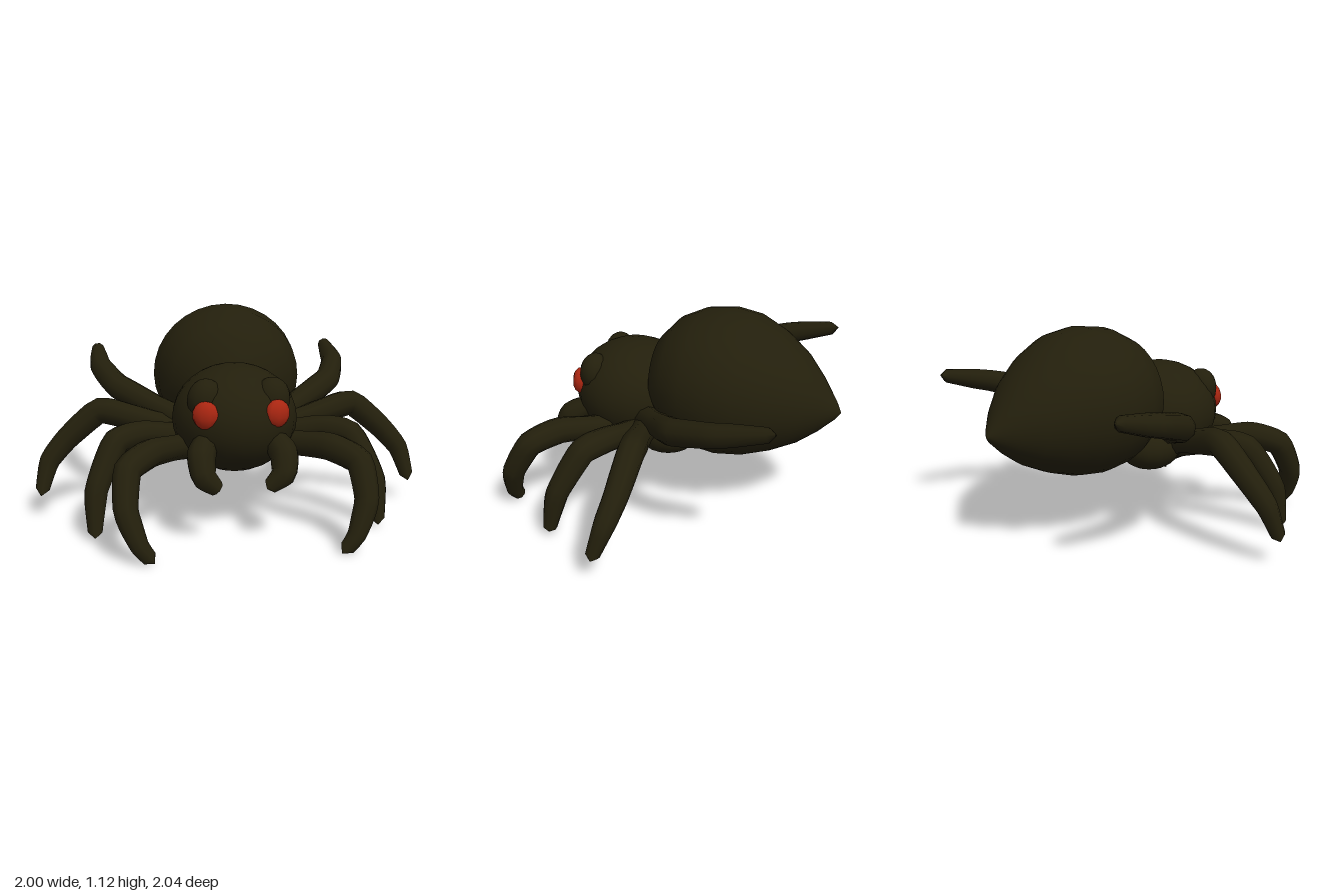
import * as THREE from 'three';

const shell = new THREE.MeshStandardMaterial({ color: 0x231f0c });
shell.name = 'dark olive';
const red = new THREE.MeshStandardMaterial({ color: 0xaa2611 });
red.name = 'eye red';

function add(parent, name, geometry, material = shell) {
  const mesh = new THREE.Mesh(geometry, material);
  mesh.name = name;
  parent.add(mesh);
  return mesh;
}

function ellipsoid(parent, name, pos, radii, material = shell, w = 24, h = 16) {
  const mesh = add(parent, name, new THREE.SphereGeometry(1, w, h), material);
  mesh.position.set(...pos);
  mesh.scale.set(...radii);
  return mesh;
}

// Jointed tube whose radius follows evenly spaced values; both ends are closed
function limb(points, radii, side, segments = 28, sides = 9) {
  const curve = new THREE.CatmullRomCurve3(
    points.map(([x, y, z]) => new THREE.Vector3(x * side, y, z)), false, 'catmullrom', 0.25);
  const g = new THREE.TubeGeometry(curve, segments, 1, sides, false);
  const p = g.attributes.position;
  const v = new THREE.Vector3();
  for (let i = 0; i <= segments; i++) {
    const t = i / segments;
    const f = t * (radii.length - 1);
    const k = Math.min(Math.floor(f), radii.length - 2);
    const end = i === 0 || i === segments;
    const r = end ? 0.002 : THREE.MathUtils.lerp(radii[k], radii[k + 1], f - k);
    const c = curve.getPointAt(t);
    for (let j = 0; j <= sides; j++) {
      const n = i * (sides + 1) + j;
      v.fromBufferAttribute(p, n).sub(c).multiplyScalar(r).add(c);
      p.setXYZ(n, v.x, v.y, v.z);
    }
  }
  return g;
}

// Left legs from hip to foot, front pair first
const legs = [
  ['FrontLeg', [[0.2, 0.44, 0.26], [0.45, 0.48, 0.54], [0.575, 0.43, 0.67],
    [0.59, 0.26, 0.77], [0.53, 0.1, 0.82], [0.46, 0.01, 0.825]]],
  ['SecondLeg', [[0.22, 0.45, 0.14], [0.477, 0.5, 0.236], [0.625, 0.48, 0.325],
    [0.73, 0.26, 0.434], [0.745, 0.02, 0.49]]],
  ['ThirdLeg', [[0.22, 0.47, 0.13], [0.54, 0.55, 0.055], [0.71, 0.58, 0.015],
    [0.89, 0.43, 0.02], [0.99, 0.31, 0.045], [1.04, 0.13, 0.1]]],
  ['RearLeg', [[0.22, 0.52, 0.14], [0.43, 0.6, -0.03], [0.61, 0.68, -0.17],
    [0.7, 0.75, -0.41], [0.72, 0.82, -0.72]]],
];

export function createModel() {
  const model = new THREE.Group();
  model.name = 'spider';
  const body = new THREE.Group();
  body.name = 'turnedBody';
  body.rotation.y = -0.626;
  body.position.set(-0.028, 0, -0.02);
  model.add(body);

  // Abdomen: round profile ending in a point at the back, sagging toward the tip
  const profile = [[0, -0.895], [0.05, -0.865], [0.15, -0.785], [0.25, -0.685], [0.34, -0.55],
    [0.4, -0.41], [0.42, -0.27], [0.4, -0.12], [0.335, 0.01], [0.22, 0.11], [0, 0.17]];
  const abdomen = new THREE.LatheGeometry(profile.map(([r, z]) => new THREE.Vector2(r, z)), 32);
  abdomen.rotateX(Math.PI / 2);
  const p = abdomen.attributes.position;
  for (let i = 0; i < p.count; i++) {
    const z = p.getZ(i);
    const sag = z < -0.3 ? 0.26 * (z + 0.3) ** 2 : 0;
    p.setXYZ(i, p.getX(i) + 0.025, p.getY(i) * 0.95 + 0.725 - sag, z);
  }
  abdomen.computeVertexNormals();
  add(body, 'abdomen', abdomen);

  // Head and the flatter underside that carries the legs
  ellipsoid(body, 'head', [0, 0.59, 0.285], [0.33, 0.285, 0.335]);
  ellipsoid(body, 'thorax', [0, 0.44, 0.19], [0.31, 0.125, 0.33]);

  for (const side of [1, -1]) {
    const s = side > 0 ? 'left' : 'right';

    // Eye, turned slightly outward and set in a raised hood
    const eye = ellipsoid(body, s + 'Eye', [0.18 * side, 0.66, 0.545],
      [0.07, 0.073, 0.045], red, 9, 7);
    eye.rotation.y = 0.35 * side;
    ellipsoid(body, s + 'Brow', [0.17 * side, 0.72, 0.455], [0.095, 0.11, 0.085], shell, 14, 10);

    // Curved mouth feeler
    add(body, s + 'Feeler', limb([[0.17, 0.52, 0.48], [0.21, 0.46, 0.59], [0.2, 0.37, 0.635],
      [0.12, 0.29, 0.62]], [0.06, 0.075, 0.065, 0.035], side, 16));

    // Swollen hip behind the legs
    ellipsoid(body, s + 'Hip', [0.2 * side, 0.46, 0.02], [0.16, 0.125, 0.18], shell, 16, 12);

    for (const [name, points] of legs) {
      add(body, s + name, limb(points, [0.075, 0.066, 0.074, 0.068, 0.058, 0.034], side));
    }
  }
  return model;
}
